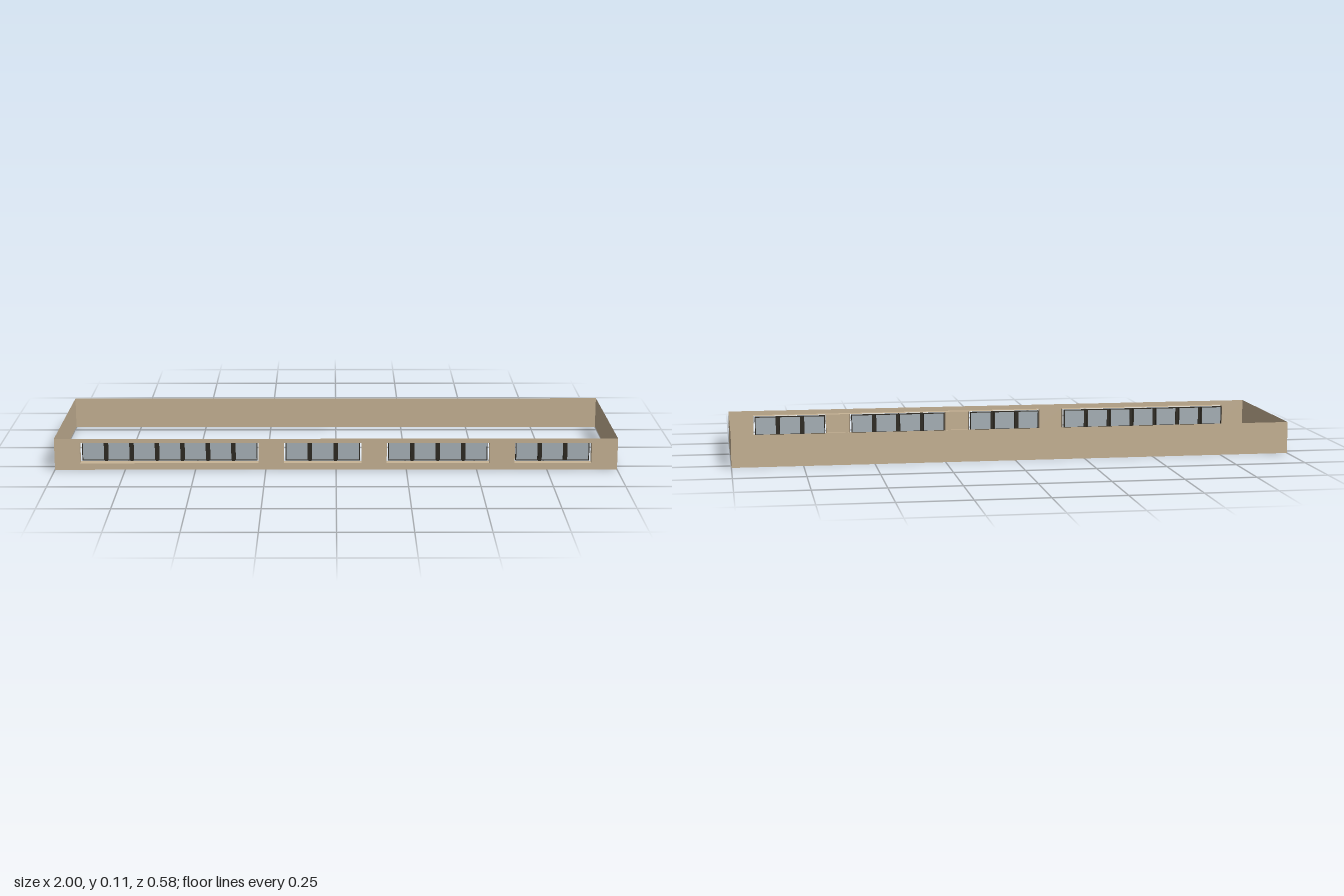
import * as THREE from 'three';

const W = 2, H = 0.114, D = 0.582;
const Y0 = 0.024, Y1 = 0.098;            // window opening
const ZF = D / 2, ZR = 0.264;            // facade plane, back of the reveals
// window bands: left edge, right edge, number of panes
const BANDS = [[-0.91, -0.275, 7], [-0.185, 0.09, 3], [0.18, 0.545, 4], [0.635, 0.908, 3]];

export function createModel() {
  const root = new THREE.Group();
  root.name = 'storeyRing';
  const wallMat = new THREE.MeshStandardMaterial({ color: 0xc8b496, side: THREE.DoubleSide });
  wallMat.name = 'sandstone';
  const frameMat = new THREE.MeshStandardMaterial({ color: 0x2e2a22 });
  frameMat.name = 'darkFrame';
  const glassMat = new THREE.MeshStandardMaterial({ color: 0xa9b3b9 });
  glassMat.name = 'greyGlass';

  const add = (parent, name, geo, mat, x = 0, y = 0, z = 0) => {
    const m = new THREE.Mesh(geo, mat);
    m.name = name;
    m.position.set(x, y, z);
    parent.add(m);
    return m;
  };
  const box = (parent, name, x0, x1, y0, y1, z0, z1, mat) =>
    add(parent, name, new THREE.BoxGeometry(x1 - x0, y1 - y0, z1 - z0), mat,
      (x0 + x1) / 2, (y0 + y1) / 2, (z0 + z1) / 2);
  const rect = (T, x0, x1, y0, y1) => new T([
    new THREE.Vector2(x0, y0), new THREE.Vector2(x1, y0),
    new THREE.Vector2(x1, y1), new THREE.Vector2(x0, y1)]);

  // thin outer walls, open above and below
  add(root, 'backWall', new THREE.PlaneGeometry(W, H), wallMat, 0, H / 2, -ZF).rotation.y = Math.PI;
  for (const s of [-1, 1])
    add(root, s > 0 ? 'leftWall' : 'rightWall', new THREE.PlaneGeometry(D, H), wallMat, s * W / 2, H / 2, 0)
      .rotation.y = s * Math.PI / 2;

  // facade with the window openings
  const facade = rect(THREE.Shape, -W / 2, W / 2, 0, H);
  for (const [a, b] of BANDS) facade.holes.push(rect(THREE.Path, a, b, Y0, Y1));
  add(root, 'frontWall', new THREE.ShapeGeometry(facade), wallMat, 0, 0, ZF);

  // sills and soffits: one short run, one long run shared by three bands
  const depth = ZF - ZR, zMid = (ZF + ZR) / 2;
  for (const [a, b] of [[BANDS[0][0], BANDS[0][1]], [BANDS[1][0], BANDS[3][1]]])
    for (const [name, y, turn] of [['sill', Y0, -1], ['soffit', Y1, 1]])
      add(root, name, new THREE.PlaneGeometry(b - a, depth), wallMat, (a + b) / 2, y, zMid)
        .rotation.x = turn * Math.PI / 2;

  for (const [a, b, n] of BANDS) {
    const band = new THREE.Group();
    band.name = 'windowBand';
    root.add(band);
    // side reveals
    for (const [x, turn] of [[a, 1], [b, -1]])
      add(band, 'jamb', new THREE.PlaneGeometry(depth, Y1 - Y0), wallMat, x, (Y0 + Y1) / 2, zMid)
        .rotation.y = turn * Math.PI / 2;

    const pitch = (b - a) / n, gap = 0.005, t = 0.003;
    for (let i = 0; i < n; i++) {
      const x0 = a + i * pitch + gap, x1 = a + (i + 1) * pitch - gap;
      const y0 = Y0 + 0.002, y1 = Y1 - 0.002;
      // framed pane
      const frame = rect(THREE.Shape, x0, x1, y0, y1);
      frame.holes.push(rect(THREE.Path, x0 + t, x1 - t, y0 + t, y1 - t));
      add(band, 'paneFrame', new THREE.ExtrudeGeometry(frame, { depth: 0.009, bevelEnabled: false }),
        frameMat, 0, 0, 0.255);
      box(band, 'pane', x0 + t, x1 - t, y0 + t, y1 - t, 0.257, 0.262, glassMat);
      // mullion between neighbouring panes
      if (i > 0) {
        const x = a + i * pitch;
        box(band, 'mullion', x - gap, x + gap, y0, y1, 0.264, 0.269, frameMat);
      }
    }
  }
  return root;
}
